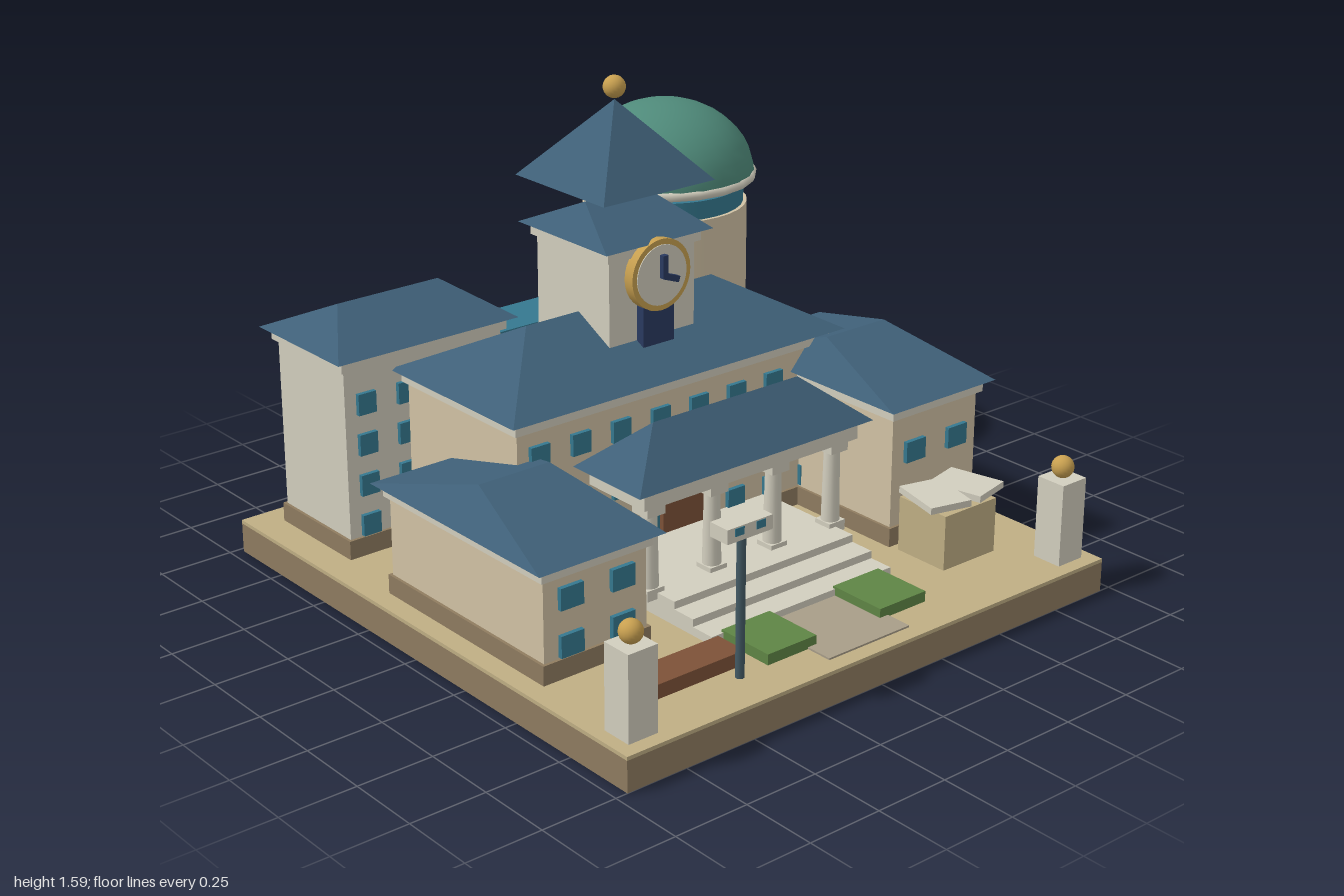
import * as THREE from 'three';

const C = {
  wall: 0xd2c3a5, cream: 0xd2cebe, roof: 0x3f6078, plinth: 0x8f7c60, sand: 0xbfae84, teal: 0x35788f,
  dome: 0x4f8a7a, gold: 0xc8a050, wood: 0x7d5238, hedge: 0x5f8545, path: 0xa89d88, navy: 0x2a3a60, post: 0x435a64,
};
const mats = {};
function mat(name, flat = false) {
  const key = name + flat;
  return (mats[key] ??= new THREE.MeshStandardMaterial({ color: C[name], flatShading: flat }));
}

function add(parent, name, geo, color, x = 0, y = 0, z = 0, flat = false) {
  const m = new THREE.Mesh(geo, mat(color, flat));
  m.name = name;
  m.position.set(x, y, z);
  parent.add(m);
  return m;
}
// Box centred on x and z, spanning y0 to y1
function block(parent, name, color, x, z, w, d, y0, y1) {
  return add(parent, name, new THREE.BoxGeometry(w, y1 - y0, d), color, x, (y0 + y1) / 2, z);
}
function cyl(parent, name, color, x, z, r, y0, y1, seg = 24) {
  return add(parent, name, new THREE.CylinderGeometry(r, r, y1 - y0, seg), color, x, (y0 + y1) / 2, z);
}
function ball(parent, name, x, y, z, r = 0.036) {
  return add(parent, name, new THREE.SphereGeometry(r, 20, 14), 'gold', x, y, z);
}

// Hip roof with its ridge along x, closed underneath
function hipRoof(w, d, h, ridge) {
  const a = w / 2, b = d / 2, r = ridge / 2;
  const P = [[-a, 0, b], [a, 0, b], [a, 0, -b], [-a, 0, -b], [-r, h, 0], [r, h, 0]];
  const F = [0, 1, 5, 0, 5, 4, 1, 2, 5, 2, 3, 4, 2, 4, 5, 3, 0, 4, 0, 3, 2, 0, 2, 1];
  const g = new THREE.BufferGeometry();
  g.setAttribute('position', new THREE.Float32BufferAttribute(F.flatMap((i) => P[i]), 3));
  g.computeVertexNormals();
  return g;
}

// Walls, plinth, cornice, hip roof and front and back windows
function building(parent, o) {
  const g = new THREE.Group();
  g.name = o.name;
  parent.add(g);
  const { x, z, w, d, eave } = o;
  block(g, 'walls', o.color ?? 'wall', x, z, w, d, o.y0 ?? 0.11, eave - 0.03);
  if (!o.noPlinth) block(g, 'plinth', 'plinth', x, z, w + 0.02, d + 0.02, 0.11, 0.175);
  block(g, 'cornice', 'cream', x, z, w + 0.03, d + 0.03, eave - 0.04, eave);
  add(g, 'roof', hipRoof(w + 0.085, d + 0.085, o.ridge - eave, (w + 0.085) * 0.56), 'roof', x, eave, z, true);
  const cols = o.cols ?? 0;
  for (const y of o.rows ?? [])
    for (let i = 0; i < cols; i++)
      for (const s of [1, -1]) {
        const wx = x + (i + 0.5 - cols / 2) * (w / cols);
        block(g, 'window', 'teal', wx, z + s * (d / 2 + 0.005), o.win ?? 0.07, 0.02, y - 0.035, y + 0.035);
      }
  return g;
}

export function createModel() {
  const model = new THREE.Group();
  model.name = 'townHall';

  // Ground
  block(model, 'base', 'plinth', 0, 0.01, 1.92, 1.98, 0, 0.1);
  block(model, 'groundTop', 'sand', 0, 0.01, 1.92, 1.98, 0.1, 0.112);

  // Buildings
  building(model, { name: 'mainHall', x: 0, z: -0.205, w: 1.25, d: 0.56, eave: 0.7, ridge: 0.865,
    cols: 8, rows: [0.215, 0.386, 0.575] });
  building(model, { name: 'rightWing', x: -0.695, z: 0.155, w: 0.375, d: 0.755, eave: 0.475, ridge: 0.585,
    cols: 2, rows: [0.215, 0.365], win: 0.083 });
  building(model, { name: 'leftWing', x: 0.7, z: 0.135, w: 0.37, d: 0.735, eave: 0.585, ridge: 0.698,
    cols: 2, rows: [0.215, 0.42], win: 0.083 });
  building(model, { name: 'backWing', x: -0.548, z: -0.695, w: 0.595, d: 0.37, eave: 0.78, ridge: 0.885,
    cols: 4, rows: [0.215, 0.351, 0.487, 0.622], color: 'cream', win: 0.065 });

  // Clock tower with floating spire
  const tower = building(model, { name: 'clockTower', x: 0, z: -0.232, w: 0.34, d: 0.36, eave: 1.105, ridge: 1.205,
    color: 'cream', y0: 0.6, noPlinth: true });
  block(tower, 'balconyDoor', 'navy', 0, -0.04, 0.123, 0.04, 0.75, 0.9);
  const spire = new THREE.ConeGeometry(0.22 * Math.SQRT2, 0.25, 4).rotateY(Math.PI / 4);
  add(tower, 'spire', spire, 'roof', 0, 1.385, -0.232, true);
  ball(tower, 'finial', 0, 1.55, -0.232);
  const disc = (r, h) => new THREE.CylinderGeometry(r, r, h, 32).rotateX(Math.PI / 2);
  const clock = new THREE.Group();
  clock.name = 'clock';
  clock.position.set(0, 1, -0.025);
  tower.add(clock);
  add(clock, 'clockRim', disc(0.116, 0.038), 'gold');
  add(clock, 'clockFace', disc(0.098, 0.044), 'cream');
  add(clock, 'hourHand', new THREE.BoxGeometry(0.02, 0.075, 0.018), 'navy', 0, 0.03, 0.032);
  add(clock, 'minuteHand', new THREE.BoxGeometry(0.06, 0.02, 0.018), 'navy', 0.026, -0.01, 0.032).rotation.z = -0.35;

  // Portico
  const portico = new THREE.Group();
  portico.name = 'portico';
  model.add(portico);
  block(portico, 'frieze', 'cream', 0, 0.302, 0.86, 0.26, 0.48, 0.54);
  add(portico, 'porticoRoof', hipRoof(0.94, 0.315, 0.145, 0.58), 'roof', 0, 0.54, 0.302, true);
  for (const x of [-0.371, -0.124, 0.124, 0.371]) {
    block(portico, 'columnBase', 'cream', x, 0.38, 0.066, 0.066, 0.17, 0.205);
    add(portico, 'column', new THREE.CylinderGeometry(0.025, 0.03, 0.26, 16), 'cream', x, 0.325, 0.38);
    block(portico, 'capital', 'cream', x, 0.38, 0.07, 0.07, 0.443, 0.48);
  }
  [[0.49, 0.19], [0.575, 0.165], [0.66, 0.14]].forEach(([z, y]) =>
    block(portico, 'step', 'cream', 0, (z + 0.08) / 2, 0.73, z - 0.08, 0.11, y));
  block(portico, 'door', 'wood', 0, 0.085, 0.172, 0.04, 0.19, 0.43);

  // Round tower and dome
  const round = new THREE.Group();
  round.name = 'domeTower';
  round.position.set(0.58, 0, -0.686);
  model.add(round);
  cyl(round, 'drum', 'wall', 0, 0, 0.28, 0.135, 0.965, 32);
  cyl(round, 'windowBand', 'teal', 0, 0, 0.268, 0.965, 1.028, 32);
  const dome = add(round, 'dome', new THREE.SphereGeometry(0.305, 24, 10, 0, Math.PI * 2, 0, Math.PI / 2), 'dome', 0, 1.055, 0);
  dome.scale.y = 0.835;
  dome.material = dome.material.clone();
  dome.material.side = THREE.DoubleSide;
  add(round, 'domeRim', new THREE.TorusGeometry(0.295, 0.018, 8, 20).rotateX(Math.PI / 2), 'cream', 0, 1.06, 0);

  // Raised walkway between back wing and round tower
  block(model, 'skyBridge', 'teal', 0.025, -0.705, 0.56, 0.19, 0.51, 0.68);

  // Gate pillars and hedges
  for (const s of [-1, 1]) {
    block(model, 'gatePillar', 'cream', s * 0.864, 0.9, 0.104, 0.104, 0.11, 0.385);
    ball(model, 'gateBall', s * 0.864, 0.42, 0.9);
    block(model, 'hedge', 'hedge', s * 0.225, 0.753, 0.19, 0.204, 0.11, 0.147);
  }
  block(model, 'path', 'path', 0, 0.8, 0.325, 0.29, 0.11, 0.118);

  // Bench and lamp post
  block(model, 'bench', 'wood', -0.585, 0.763, 0.41, 0.116, 0.122, 0.168);
  cyl(model, 'lampPost', 'post', -0.428, 0.855, 0.014, 0.11, 0.57, 12);
  block(model, 'lampHead', 'cream', -0.428, 0.855, 0.168, 0.074, 0.565, 0.61);
  for (const s of [-1, 1])
    block(model, 'lampPane', 'teal', -0.428 + s * 0.04, 0.89, 0.034, 0.008, 0.582, 0.606);

  // Open book on a pedestal
  block(model, 'pedestal', 'sand', 0.628, 0.642, 0.225, 0.2, 0.112, 0.295);
  for (const s of [-1, 1]) {
    const page = block(model, 'bookPage', 'cream', 0.64 + s * 0.068, 0.64, 0.146, 0.19, 0.303, 0.325);
    page.rotation.y = s * 0.24;
  }
  return model;
}
